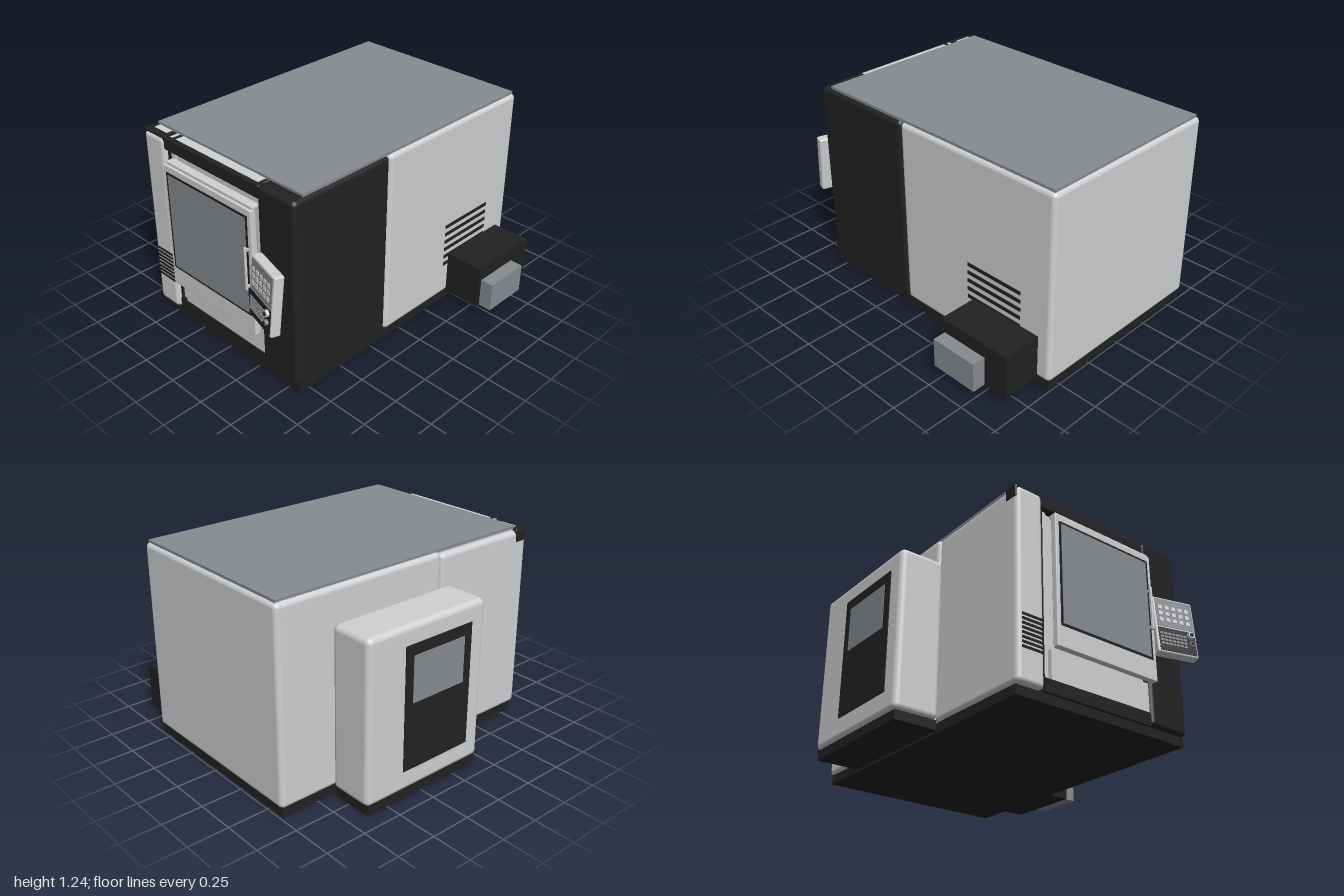
import * as THREE from 'three';
import { RoundedBoxGeometry } from 'three/addons/geometries/RoundedBoxGeometry.js';

const mat = (name, color) => {
  const m = new THREE.MeshStandardMaterial({ color });
  m.name = name;
  return m;
};

export function createModel() {
  const root = new THREE.Group();
  root.name = 'machiningCentre';
  const light = mat('lightGrey', 0xd0d1d2);
  const dark = mat('charcoal', 0x222222);
  const grey = mat('midGrey', 0x888c91);

  // Box given by its extents; r > 0 rounds the edges
  const box = (parent, name, m, [x0, x1], [y0, y1], [z0, z1], r = 0) => {
    const size = [x1 - x0, y1 - y0, z1 - z0];
    const geo = r ? new RoundedBoxGeometry(...size, 4, r) : new THREE.BoxGeometry(...size);
    const mesh = new THREE.Mesh(geo, m);
    mesh.position.set((x0 + x1) / 2, (y0 + y1) / 2, (z0 + z1) / 2);
    mesh.name = name;
    parent.add(mesh);
    return mesh;
  };

  // Main enclosure
  box(root, 'plinth', dark, [-0.615, 0.58], [0, 0.057], [-0.985, 0.82]);
  box(root, 'rearCabinet', light, [-0.63, 0.59], [0.055, 1.222], [-1, 0.135], 0.03);
  box(root, 'frontCore', light, [-0.6, 0.4], [0.057, 1.218], [0.08, 0.8]);
  box(root, 'rightFrontCabinet', dark, [0.31, 0.59], [0.055, 1.222], [0.135, 0.845], 0.03);
  box(root, 'leftFrontPillar', light, [-0.628, -0.45], [0.055, 1.208], [0.135, 0.853], 0.03);
  box(root, 'roof', grey, [-0.605, 0.572], [1.218, 1.236], [-0.982, 0.765]);

  // Header and front fascia
  box(root, 'header', dark, [-0.631, 0.33], [1.135, 1.219], [0.755, 0.842], 0.012);
  box(root, 'headerCapLeft', light, [-0.585, -0.475], [1.216, 1.222], [0.765, 0.805]);
  box(root, 'headerCapMiddle', light, [-0.425, -0.405], [1.216, 1.222], [0.765, 0.818]);
  box(root, 'headerCap', light, [-0.375, 0.3], [1.216, 1.222], [0.765, 0.818]);
  box(root, 'pillarSeal', dark, [-0.455, -0.432], [0.057, 1.14], [0.79, 0.825]);
  box(root, 'kickPlate', dark, [-0.44, 0.315], [0.055, 0.132], [0.79, 0.838]);
  box(root, 'lowerPanel', light, [-0.39, 0.315], [0.132, 0.31], [0.79, 0.83]);
  box(root, 'jambStrip', light, [-0.432, -0.4], [0.132, 1.135], [0.79, 0.815]);

  // Sliding door with framed window
  box(root, 'door', light, [-0.402, 0.322], [0.297, 1.09], [0.86, 0.898], 0.006);
  box(root, 'doorRail', light, [-0.39, 0.322], [1.088, 1.11], [0.835, 0.885], 0.006);
  box(root, 'windowFrame', dark, [-0.378, 0.295], [0.42, 1.05], [0.895, 0.901]);
  box(root, 'windowGlass', grey, [-0.364, 0.281], [0.434, 1.036], [0.898, 0.903]);
  box(root, 'doorHandle', light, [0.284, 0.298], [0.6, 0.87], [0.912, 0.926], 0.005);
  for (const y of [0.62, 0.85])
    box(root, 'handleMount', light, [0.285, 0.297], [y - 0.008, y + 0.008], [0.895, 0.915]);

  // Vent slots
  for (let i = 0; i < 8; i++) {
    const y = 0.252 + i * 0.0262;
    box(root, 'pillarVent', dark, [-0.6, -0.462], [y - 0.007, y + 0.007], [0.85, 0.857]);
  }
  for (let i = 0; i < 6; i++) {
    const y = 0.276 + i * 0.053;
    box(root, 'sideVent', dark, [0.586, 0.594], [y - 0.011, y + 0.011], [-0.785, -0.39]);
  }

  // Cabinet on the model's right side
  box(root, 'sideCabinetPlinth', dark, [-0.9, -0.64], [0, 0.057], [-0.64, 0.18]);
  box(root, 'sideCabinet', light, [-0.912, -0.632], [0.055, 1.03], [-0.655, 0.193], 0.035);
  box(root, 'sideCabinetPanel', dark, [-0.917, -0.909], [0.18, 0.92], [-0.4, 0.085]);
  box(root, 'sideCabinetWindow', grey, [-0.92, -0.914], [0.58, 0.855], [-0.345, 0.03]);

  // Chip unit on the model's left side
  box(root, 'chipUnit', dark, [0.58, 0.835], [0.055, 0.33], [-0.915, -0.437]);
  box(root, 'chipUnitEnd', grey, [0.83, 0.917], [0.06, 0.243], [-0.76, -0.457]);

  // Swivelling control panel on a short arm
  box(root, 'panelArm', light, [0.432, 0.464], [0.665, 0.695], [0.83, 0.92]);
  const panel = new THREE.Group();
  panel.name = 'controlPanel';
  panel.position.set(0.45, 0.65, 0.922);
  panel.rotation.set(-0.095, -0.27, 0, 'YXZ');
  root.add(panel);
  box(panel, 'panelCase', light, [-0.131, 0.131], [-0.185, 0.185], [-0.03, 0.03], 0.012);
  box(panel, 'panelScreen', grey, [-0.118, 0.118], [-0.012, 0.172], [0.028, 0.033]);
  box(panel, 'keyboard', dark, [-0.118, 0.118], [-0.172, -0.022], [0.028, 0.033]);
  for (let r = 0; r < 3; r++)
    for (let c = 0; c < 5; c++) {
      const x = -0.09 + c * 0.043, y = 0.032 + r * 0.041;
      box(panel, 'screenButton', light, [x - 0.013, x + 0.013], [y - 0.013, y + 0.013], [0.032, 0.037]);
    }
  for (let r = 0; r < 4; r++)
    for (let c = 0; c < 7; c++) {
      const x = -0.102 + c * 0.025, y = -0.128 + r * 0.022;
      box(panel, 'key', grey, [x - 0.01, x + 0.01], [y - 0.007, y + 0.007], [0.032, 0.038]);
    }
  [[-0.048, light, 0.02], [-0.105, grey, 0.016]].forEach(([y, m, r]) => {
    const knob = new THREE.Mesh(new THREE.CylinderGeometry(r, r, 0.018, 20), m);
    knob.name = 'knob';
    knob.rotation.x = Math.PI / 2;
    knob.position.set(0.087, y, 0.041);
    const cap = new THREE.Mesh(new THREE.CylinderGeometry(r * 0.6, r * 0.6, 0.008, 20), dark);
    cap.name = 'knobCap';
    cap.position.y = 0.01;
    knob.add(cap);
    panel.add(knob);
  });
  return root;
}
